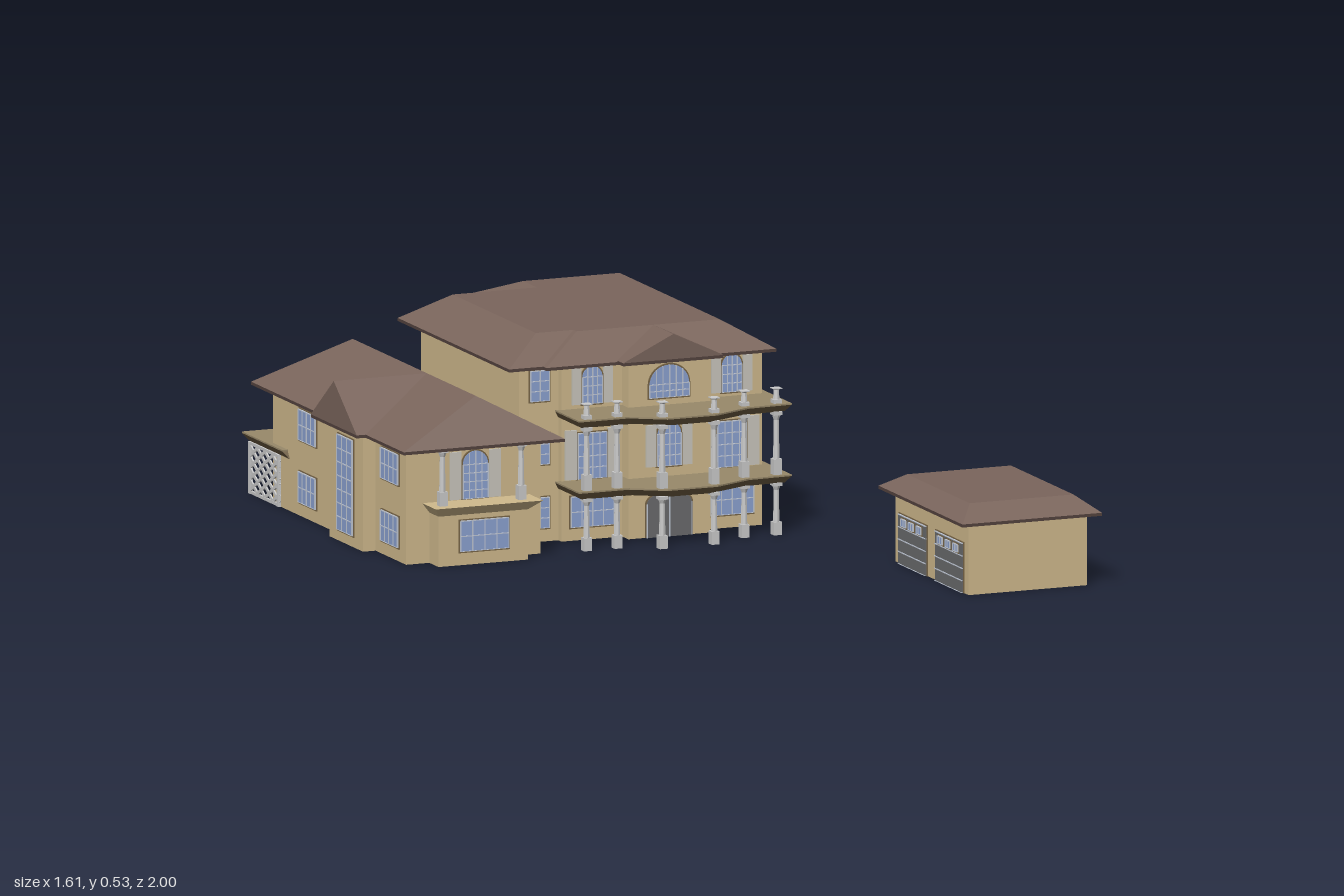
import * as THREE from 'three';

const mat = (color, double) => {
  const m = new THREE.MeshStandardMaterial({ color, flatShading: true });
  if (double) m.side = THREE.DoubleSide;
  return m;
};
const M = {
  wall: mat(0xd0ba8d, true), roof: mat(0x7a655c, true), fascia: mat(0x54433e), deck: mat(0x98896a),
  edge: mat(0x6f5d42), glass: mat(0x8ca2d2), bar: mat(0xc2cad8), column: mat(0xcccccc),
  door: mat(0x6a6b6d), shutter: mat(0xcbc8be), lattice: mat(0xd8d8d8), frame: mat(0x7a6748),
};

const rect = (x0, x1, z0, z1) => [[x0, z0], [x0, z1], [x1, z1], [x1, z0]];

// Solid between two outlines with the same number of corners
function loft(low, high, y0, y1, openBottom) {
  const b = low.map(([x, z]) => [x, y0, z]), t = high.map(([x, z]) => [x, y1, z]);
  const n = b.length, pos = [];
  const tri = (...pts) => pts.forEach(p => pos.push(...p));
  for (let i = 0; i < n; i++) {
    const j = (i + 1) % n;
    tri(b[i], b[j], t[j]);
    tri(b[i], t[j], t[i]);
  }
  for (let i = 1; i < n - 1; i++) {
    tri(t[0], t[i], t[i + 1]);
    if (!openBottom) tri(b[0], b[i + 1], b[i]);
  }
  const g = new THREE.BufferGeometry();
  g.setAttribute('position', new THREE.Float32BufferAttribute(pos, 3));
  g.computeVertexNormals();
  return g;
}

export function createModel() {
  const root = new THREE.Group();
  const add = (name, geo, material, parent = root) => {
    const m = new THREE.Mesh(geo, material);
    m.name = name;
    parent.add(m);
    return m;
  };
  const box = (name, x0, x1, y0, y1, z0, z1, material, parent) => {
    const m = add(name, new THREE.BoxGeometry(x1 - x0, y1 - y0, z1 - z0), material, parent);
    m.position.set((x0 + x1) / 2, (y0 + y1) / 2, (z0 + z1) / 2);
    return m;
  };
  const walls = (name, pts, y1) => add(name, loft(pts, pts, 0, y1, true), M.wall);
  const roof = (name, base, top, y0, y1) => {
    add(name, loft(rect(...base), rect(...top), y0, y1), M.roof);
    const [a, b, c, d] = base;
    box(name + 'Fascia', a, b, y0 - 0.008, y0, c, d, M.fascia);
  };
  // Window or door: w by h, sill at y, turned by ry; rise > 0 arches the head
  const opening = (name, x, y, z, w, h, { ry = 0, cols = 4, rows = 2, rise = 0, pane = M.glass } = {}) => {
    const g = new THREE.Group();
    g.name = name;
    g.position.set(x, y, z);
    g.rotation.y = ry;
    const outline = (e) => {
      const s = new THREE.Shape(), a = w / 2 + e, top = h - rise, sill = y > 0 ? -e : 0;
      s.moveTo(-a, sill);
      s.lineTo(a, sill);
      if (rise) s.absellipse(0, top, a, rise + e, 0, Math.PI);
      else { s.lineTo(a, h + e); s.lineTo(-a, h + e); }
      return s;
    };
    const slab = (e, back, front) => new THREE.ExtrudeGeometry(outline(e),
      { depth: front - back, bevelEnabled: false, curveSegments: 10 }).translate(0, 0, back);
    add('frame', slab(0.004, -0.003, 0.003), M.frame, g);
    add('pane', slab(0, -0.005, 0.005), pane, g);
    for (let i = 0; i <= cols && cols; i++) {
      const u = -w / 2 + w * i / cols;
      const top = h - rise + rise * Math.sqrt(Math.max(0, 1 - (2 * u / w) ** 2));
      box('mullion', u - 0.0012, u + 0.0012, 0, top, 0, 0.007, M.bar, g);
    }
    for (let i = 0; i <= rows && rows; i++) {
      const v = (h - rise) * i / rows;
      box('glazingBar', -w / 2, w / 2, Math.max(0, v - 0.0012), v + 0.0012, 0, 0.007, M.bar, g);
    }
    root.add(g);
  };
  const column = (x, z, y0, y1) => {
    const g = new THREE.Group(), h = y1 - y0;
    g.name = 'column';
    g.position.set(x, y0, z);
    const part = (name, r0, r1, a, b, n) => {
      add(name, new THREE.CylinderGeometry(r1, r0, b - a, n), M.column, g).position.y = (a + b) / 2;
    };
    box('pedestal', -0.011, 0.011, 0, h * 0.25, -0.011, 0.011, M.column, g);
    part('shaft', 0.009, 0.007, h * 0.25, h * 0.88, 8);
    part('capital', 0.007, 0.012, h * 0.86, h * 0.95, 8);
    box('abacus', -0.012, 0.012, h * 0.94, h, -0.012, 0.012, M.column, g);
    root.add(g);
  };
  // Floor slab with a dark moulded edge that flares upwards
  const floor = (name, pts, y) => {
    const cx = pts.reduce((s, p) => s + p[0], 0) / pts.length;
    const low = pts.map(([x, z]) => [x - Math.sign(x - cx) * 0.014, z - Math.sign(z + 0.45) * 0.014]);
    add(name + 'Edge', loft(low, pts, y - 0.022, y - 0.004), M.edge);
    add(name, loft(pts, pts, y - 0.004, y), M.deck);
  };

  // Main block, with the entrance bay in its outline
  walls('mainWalls', [[-0.36, -0.74], [-0.36, -0.1], [-0.25, -0.1], [-0.25, -0.08], [-0.08, -0.08], [-0.08, -0.04],
    [0.15, -0.04], [0.15, -0.08], [0.31, -0.08], [0.31, -0.78], [-0.15, -0.78], [-0.15, -0.74]], 0.465);
  roof('mainRoofLeft', [-0.4, 0.3, -0.8, -0.07], [-0.285, 0.18, -0.71, -0.165], 0.465, 0.534);
  roof('mainRoofBack', [-0.17, 0.338, -0.985, -0.05], [-0.05, 0.22, -0.8, -0.145], 0.465, 0.534);
  roof('mainRoofFront', [-0.305, 0.338, -0.6, -0.05], [-0.18, 0.22, -0.6, -0.145], 0.465, 0.534);
  roof('entranceGable', [-0.105, 0.175, -0.145, -0.015], [0.035, 0.035, -0.145, -0.015], 0.468, 0.534);

  // Left wing with front bay and side gable
  walls('wingWalls', [[-0.735, -0.83], [-0.735, -0.38], [-0.77, -0.38], [-0.77, -0.16], [-0.735, -0.16],
    [-0.735, 0.04], [-0.36, 0.04], [-0.36, -0.83]], 0.315);
  walls('wingFrontBay', rect(-0.67, -0.42, 0.03, 0.1), 0.14);
  add('wingBayLedge', loft(rect(-0.67, -0.42, 0.03, 0.1), rect(-0.69, -0.39, 0.03, 0.13), 0.132, 0.158), M.wall);
  roof('wingRoof', [-0.78, -0.33, -0.87, 0.13], [-0.545, -0.545, -0.755, 0.05], 0.315, 0.43);
  roof('wingSideGable', [-0.805, -0.545, -0.42, -0.12], [-0.805, -0.545, -0.27, -0.27], 0.315, 0.43);
  for (const x of [-0.655, -0.435]) column(x, 0.09, 0.158, 0.307);

  // Front balconies with their columns and short top posts
  const balcony = [[-0.265, -0.085], [-0.265, 0.07], [-0.124, 0.07], [-0.04, 0.125],
    [0.1, 0.125], [0.21, 0.075], [0.33, 0.07], [0.33, -0.085]];
  const frontPosts = [[-0.235, 0.05], [-0.15, 0.05], [-0.045, 0.1], [0.1, 0.1], [0.205, 0.05], [0.295, 0.05]];
  for (const y of [0.158, 0.345]) {
    floor('frontBalcony', balcony, y);
    floor('sideBelt', rect(0.3, 0.33, -0.79, -0.08), y);
  }
  for (const [x, z] of frontPosts) {
    column(x, z, 0, 0.137);
    column(x, z, 0.158, 0.324);
    column(x, z, 0.345, 0.385);
  }

  // Rear decks and columns
  floor('rearDeckMain', rect(-0.2, 0.33, -1, -0.775), 0.158);
  floor('rearDeckWide', rect(-0.75, -0.15, -1, -0.735), 0.158);
  floor('rearBalcony', rect(-0.19, 0.33, -1, -0.775), 0.345);
  for (const [a, b] of [[0, 0.137], [0.158, 0.324], [0.345, 0.458]]) {
    for (const x of [0.3, 0.085, -0.13]) column(x, -0.965, a, b);
    column(0.3, -0.815, a, b);
  }

  // Diagonal lattice under the open end of the deck
  const lattice = new THREE.Group();
  lattice.name = 'deckLattice';
  root.add(lattice);
  const L = 0.19, H = 0.128, slope = 0.6;
  for (let c = -L * slope; c < H; c += 0.03) {
    const u0 = Math.max(0, -c / slope), u1 = Math.min(L, (H - c) / slope);
    if (u1 - u0 < 0.01) continue;
    for (const s of [1, -1]) {
      const len = (u1 - u0) * Math.hypot(1, slope), mid = (u0 + u1) / 2;
      const bar = add('slat', new THREE.BoxGeometry(0.004, 0.009, len), M.lattice, lattice);
      bar.position.set(-0.738, c + slope * mid + 0.004, -0.875 + s * (mid - L / 2));
      bar.rotation.x = -s * Math.atan(slope);
    }
  }
  for (const y of [0, H]) box('rail', -0.741, -0.735, y, y + 0.008, -0.97, -0.78, M.lattice, lattice);
  for (const z of [-0.972, -0.784]) box('latticePost', -0.743, -0.733, 0, 0.136, z - 0.005, z + 0.005, M.lattice, lattice);

  // Windows on the side, left front and rear walls of the main block
  const R = Math.PI / 2;
  for (const y of [0.033, 0.2, 0.366]) {
    for (const z of [-0.245, -0.625]) opening('sideWindow', 0.31, y, z, 0.13, 0.08, { ry: R });
    opening('narrowWindow', -0.303, y + 0.003, -0.1, 0.052, 0.08, { cols: 2, rows: 3 });
    const base = y < 0.1 ? 0 : y < 0.3 ? 0.16 : 0.347;
    opening('rearDoor', 0.02, base, -0.78, 0.1, 0.1, { ry: 2 * R, cols: 4, rows: 3 });
    opening('rearWindow', 0.2, y, -0.78, 0.1, 0.08, { ry: 2 * R });
  }
  opening('stairWindow', -0.255, 0.18, -0.74, 0.1, 0.25, { ry: 2 * R, cols: 3, rows: 7 });

  // Front facade: entrance door, windows and shutters
  opening('entranceDoor', 0.033, 0, -0.04, 0.125, 0.118, { cols: 2, rows: 0, rise: 0.03, pane: M.door });
  opening('entranceWindow', 0.033, 0.185, -0.04, 0.065, 0.115, { rise: 0.03, rows: 3 });
  opening('fanWindow', 0.033, 0.365, -0.04, 0.11, 0.085, { rise: 0.05, cols: 6 });
  const shutters = (x, w, sw, y, h, z) => {
    for (const s of [-1, 1]) {
      const c = x + s * (w + sw) / 2;
      box('shutter', c - sw / 2, c + sw / 2, y, y + h, z, z + 0.005, M.shutter);
    }
  };
  shutters(0.033, 0.073, 0.028, 0.185, 0.11, -0.04);
  for (const x of [-0.165, 0.225]) {
    opening('lowerWindow', x, 0.035, -0.08, 0.12, 0.08);
    opening('balconyDoor', x, 0.16, -0.08, 0.08, 0.12, { rows: 4 });
    shutters(x, 0.088, 0.032, 0.16, 0.13, -0.08);
    opening('archedWindow', x, 0.356, -0.08, 0.055, 0.098, { rise: 0.027, rows: 3 });
    shutters(x, 0.063, 0.025, 0.356, 0.095, -0.08);
  }

  // Wing windows
  opening('bayWindow', -0.543, 0.036, 0.1, 0.135, 0.08);
  opening('bayArchedWindow', -0.543, 0.16, 0.04, 0.07, 0.125, { rise: 0.035, rows: 4 });
  shutters(-0.543, 0.078, 0.032, 0.16, 0.125, 0.04);
  opening('gableTallWindow', -0.77, 0.03, -0.27, 0.1, 0.25, { ry: -R, cols: 3, rows: 7 });
  for (const y of [0.036, 0.2]) {
    for (const z of [-0.06, -0.6]) opening('wingSideWindow', -0.735, y, z, 0.11, 0.08, { ry: -R });
  }
  for (const x of [-0.64, -0.46]) opening('wingRearDoor', x, 0.16, -0.83, 0.09, 0.11, { ry: 2 * R, rows: 3 });

  // Detached garage
  walls('garageWalls', rect(0.44, 0.77, 0.49, 0.97), 0.19);
  roof('garageRoof', [0.41, 0.8, 0.45, 1], [0.46, 0.75, 0.52, 0.93], 0.193, 0.232);
  for (const z of [0.61, 0.85]) {
    opening('garageDoor', 0.44, 0, z, 0.18, 0.13, { ry: -R, cols: 0, rows: 4, pane: M.door });
    for (const d of [-0.05, 0, 0.05]) opening('garageDoorLight', 0.437, 0.102, z + d, 0.03, 0.02, { ry: -R, cols: 2, rows: 1 });
  }
  return root;
}
